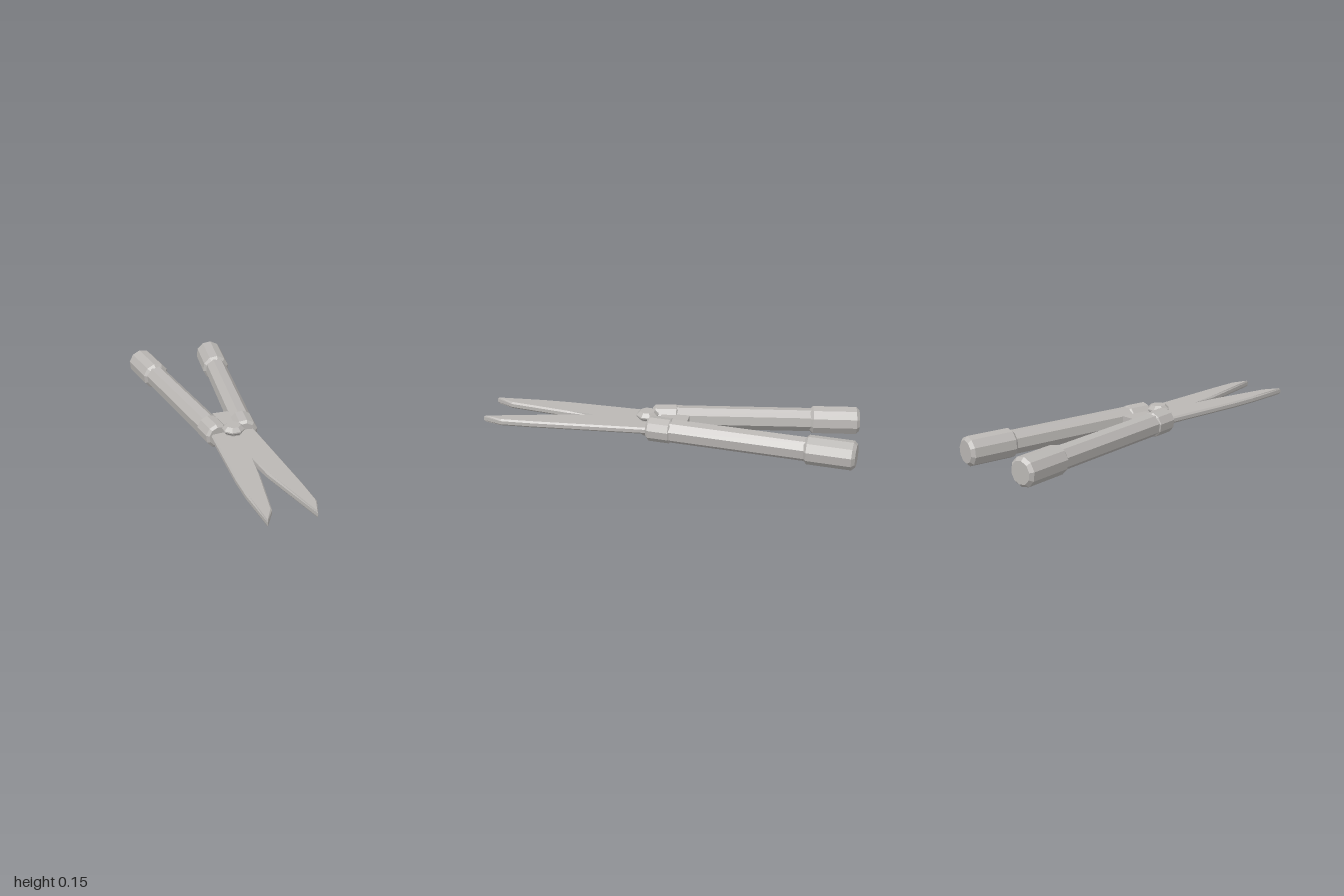
import * as THREE from 'three';

export function createModel() {
  const model = new THREE.Group();
  model.name = 'shears';
  const steel = new THREE.MeshStandardMaterial({ color: 0xbab7b4 });
  steel.flatShading = true;
  const midY = 0.077;

  // Faceted bar along local y with chamfered ends
  function barrel(name, radius, from, to, chamfer, sides, turn = 0) {
    const profile = [
      [0, from], [radius - chamfer, from], [radius, from + chamfer],
      [radius, to - chamfer], [radius - chamfer, to], [0, to],
    ].map(([r, y]) => new THREE.Vector2(r, y));
    const mesh = new THREE.Mesh(new THREE.LatheGeometry(profile, sides, turn), steel);
    mesh.name = name;
    return mesh;
  }

  // Two splayed handles: rod, grip and collar
  for (const side of [1, -1]) {
    const handle = new THREE.Group();
    handle.name = side > 0 ? 'leftHandle' : 'rightHandle';
    handle.add(
      barrel('rod', 0.0625, -0.08, 0.9, 0.005, 8, Math.PI / 8),
      barrel('grip', 0.076, 0.735, 0.998, 0.017, 10),
      barrel('collar', 0.067, -0.105, 0.035, 0.014, 10),
    );
    handle.position.set(side * 0.088, midY, 0);
    handle.quaternion.setFromUnitVectors(
      new THREE.Vector3(0, 1, 0),
      new THREE.Vector3(side * 0.128, 0, -1).normalize(),
    );
    model.add(handle);
  }

  // Flat blade plate, forked towards the two tips, with bevelled edges
  const outline = new THREE.Shape([
    [-0.08, 0.03], [0.08, 0.03], [0.122, 0.1], [0.15, 0.72], [0.153, 0.89],
    [0.115, 0.995], [0.02, 0.58], [0, 0.42], [-0.017, 0.58],
    [-0.075, 0.9], [-0.132, 0.998], [-0.147, 0.74], [-0.145, 0.58], [-0.115, 0.1],
  ].map(([x, z]) => new THREE.Vector2(x, z)));
  const bladeGeometry = new THREE.ExtrudeGeometry(outline, {
    depth: 0.018, bevelThickness: 0.009, bevelSize: 0.008, bevelOffset: -0.008, bevelSegments: 1,
  });
  bladeGeometry.rotateX(Math.PI / 2);
  const blades = new THREE.Mesh(bladeGeometry, steel);
  blades.name = 'blades';
  blades.position.y = midY + 0.009;
  model.add(blades);

  // Pivot bolt through the blades, with a head on each face
  const bolt = new THREE.Group();
  bolt.name = 'pivotBolt';
  bolt.add(
    barrel('upperHead', 0.06, 0.095, 0.142, 0.02, 8, Math.PI / 8),
    barrel('lowerHead', 0.06, 0.012, 0.059, 0.02, 8, Math.PI / 8),
    barrel('shank', 0.045, 0.05, 0.105, 0.002, 8, Math.PI / 8),
  );
  bolt.position.z = 0.12;
  model.add(bolt);

  // Stop block between the collars
  const stop = new THREE.Mesh(new THREE.BoxGeometry(0.085, 0.07, 0.15), steel);
  stop.name = 'stopBlock';
  stop.position.set(0, midY, -0.025);
  model.add(stop);

  return model;
}
